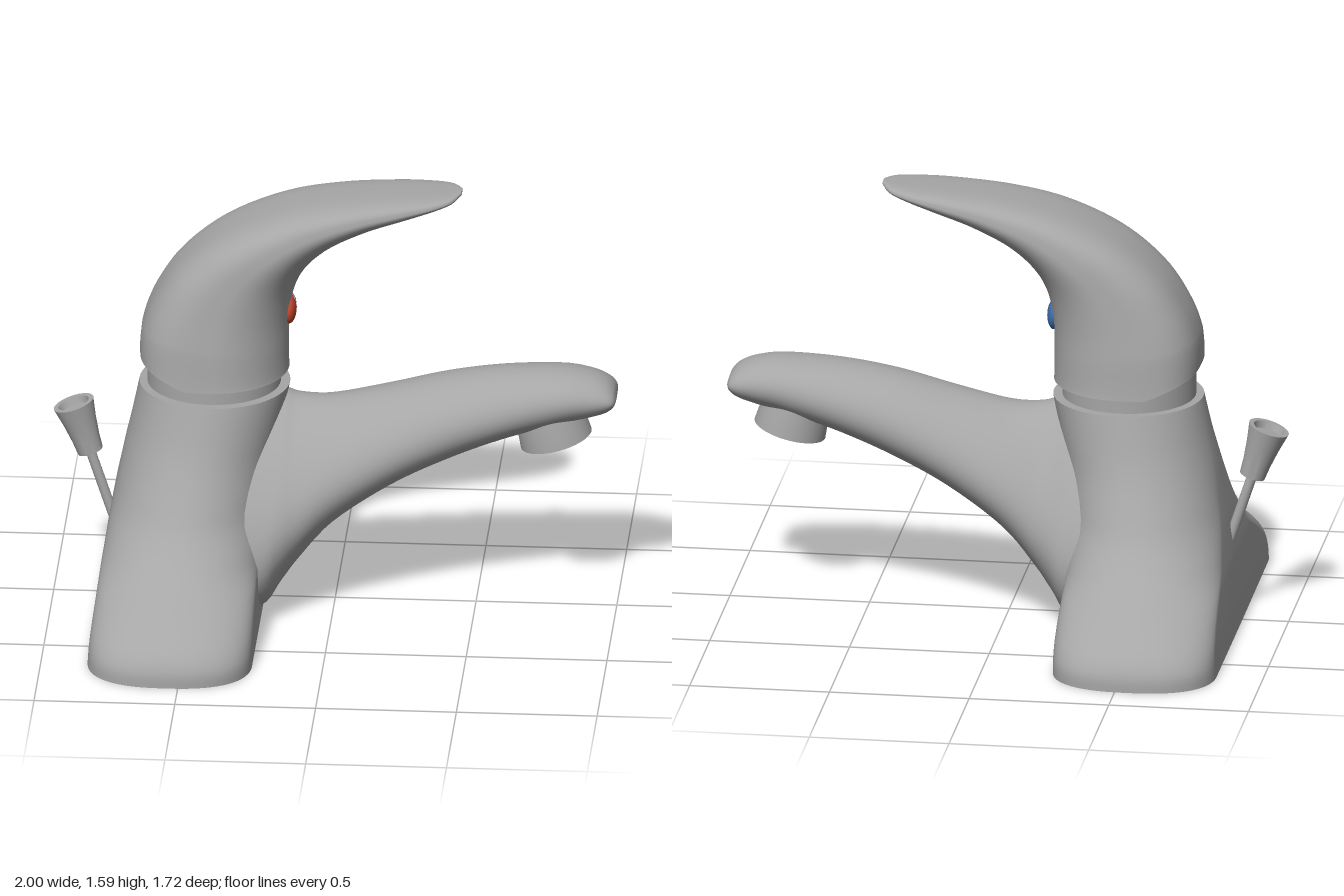
import * as THREE from 'three';
import { toCreasedNormals } from 'three/addons/utils/BufferGeometryUtils.js';

const material = (name, color) => {
  const m = new THREE.MeshStandardMaterial({ color });
  m.name = name;
  return m;
};

// Catmull-Rom interpolation through rows of numbers, u from 0 to 1
function sample(rows, u) {
  const last = rows.length - 1;
  const i = Math.min(Math.floor(u * last), last - 1);
  const t = u * last - i;
  const row = (k) => rows[Math.max(0, Math.min(last, k))];
  return row(i).map((b, c) => {
    const a = row(i - 1)[c], d = row(i + 1)[c], e = row(i + 2)[c];
    return b + 0.5 * t * (d - a + t * (2 * a - 5 * b + 4 * d - e + t * (3 * (b - d) + e - a)));
  });
}

// Signed power for superelliptic sections
const power = (v, n) => (Math.abs(v) < 1e-6 ? 0 : Math.sign(v) * Math.abs(v) ** (2 / n));

// Closed solid from cross-sections: smooth sides with flat, sharp-edged end caps
function loft(section, steps, sides) {
  const pos = [], index = [];
  const ring = (u) => {
    for (let j = 0; j < sides; j++) {
      const a = (j / sides) * Math.PI * 2;
      pos.push(...section(u, Math.cos(a), Math.sin(a)));
    }
  };
  for (let i = 0; i <= steps; i++) ring(i / steps);
  for (let i = 0; i < steps; i++) {
    for (let j = 0; j < sides; j++) {
      const k = (j + 1) % sides;
      const a = i * sides + j, b = i * sides + k;
      index.push(a, b, a + sides, b, b + sides, a + sides);
    }
  }
  for (const u of [0, 1]) {
    const start = pos.length / 3;
    ring(u);
    const centre = [0, 0, 0];
    for (let j = 0; j < sides; j++) {
      for (let c = 0; c < 3; c++) centre[c] += pos[(start + j) * 3 + c] / sides;
    }
    pos.push(...centre);
    for (let j = 0; j < sides; j++) {
      const a = start + j, b = start + ((j + 1) % sides);
      index.push(start + sides, ...(u ? [a, b] : [b, a]));
    }
  }
  // Turn the faces outward when the enclosed volume is negative
  const point = (i) => new THREE.Vector3().fromArray(pos, i * 3);
  let volume = 0;
  for (let i = 0; i < index.length; i += 3) {
    volume += point(index[i]).dot(point(index[i + 1]).cross(point(index[i + 2])));
  }
  if (volume < 0) index.reverse();
  const g = new THREE.BufferGeometry();
  g.setAttribute('position', new THREE.Float32BufferAttribute(pos, 3));
  g.setIndex(index);
  g.computeVertexNormals();
  return g;
}

const lathe = (points, sides = 40) => toCreasedNormals(
  new THREE.LatheGeometry(points.map(([r, y]) => new THREE.Vector2(r, y)), sides), 0.6);

// Body: height, back x, front x, half length, end rounding depth, squareness
const BODY = [
  [0, -0.835, -0.25, 0.86, 0.24, 2.5],
  [0.05, -0.832, -0.25, 0.857, 0.24, 2.5],
  [0.1, -0.828, -0.25, 0.832, 0.25, 2.4],
  [0.15, -0.822, -0.25, 0.78, 0.27, 2.3],
  [0.2, -0.816, -0.25, 0.705, 0.29, 2.2],
  [0.25, -0.81, -0.25, 0.62, 0.31, 2.1],
  [0.3, -0.802, -0.248, 0.55, 0.32, 2.1],
  [0.4, -0.785, -0.24, 0.455, 0.33, 2],
  [0.5, -0.765, -0.227, 0.395, 0.33, 2],
  [0.6, -0.745, -0.21, 0.345, 0.32, 2],
  [0.7, -0.722, -0.187, 0.308, 0.3, 2],
  [0.83, -0.695, -0.16, 0.272, 0.272, 2],
];

// Spout: x, top y, bottom y, half width, downward bulge
const SPOUT = [
  [-0.4, 0.8, 0.01, 0.34, 0.5],
  [-0.25, 0.81, 0.01, 0.32, 0.5],
  [-0.18, 0.802, 0.105, 0.3, 0.45],
  [-0.12, 0.783, 0.19, 0.28, 0.4],
  [0, 0.78, 0.33, 0.257, 0.3],
  [0.2, 0.822, 0.47, 0.222, 0.2],
  [0.4, 0.872, 0.57, 0.195, 0.12],
  [0.6, 0.903, 0.65, 0.172, 0.08],
  [0.8, 0.912, 0.71, 0.148, 0],
  [0.9, 0.9, 0.735, 0.13, 0],
  [0.96, 0.877, 0.755, 0.115, 0],
  [0.99, 0.85, 0.778, 0.098, 0],
  [1, 0.825, 0.803, 0.07, 0],
];

// Lever: outer x, outer y, inner x, inner y, half width
const LEVER = [
  [-0.69, 0.955, -0.163, 0.885, 0.272],
  [-0.685, 1.05, -0.165, 0.98, 0.262],
  [-0.64, 1.17, -0.162, 1.1, 0.247],
  [-0.55, 1.3, -0.14, 1.21, 0.235],
  [-0.4, 1.42, -0.09, 1.3, 0.225],
  [-0.2, 1.51, 0, 1.38, 0.205],
  [0, 1.555, 0.13, 1.445, 0.178],
  [0.2, 1.575, 0.27, 1.495, 0.15],
  [0.33, 1.581, 0.36, 1.527, 0.122],
  [0.41, 1.584, 0.42, 1.55, 0.085],
  [0.45, 1.585, 0.45, 1.57, 0.025],
];

export function createModel() {
  const model = new THREE.Group();
  model.name = 'basinTap';
  const metal = material('satin metal', 0xa6a6a6);
  const red = material('hot red', 0xc4472e);
  const blue = material('cold blue', 0x3c6ca8);
  const dark = material('dark outlet', 0x1c1c1c);
  const add = (name, geometry, mat, parent = model) => {
    const mesh = new THREE.Mesh(geometry, mat);
    mesh.name = name;
    parent.add(mesh);
    return mesh;
  };

  // Flared body standing on a long rounded base
  add('body', loft((u, c, s) => {
    const [y, back, front, half, cap, n] = sample(BODY, u);
    const z = power(s, n);
    return [
      (back + front) / 2 + ((front - back) / 2) * power(c, n),
      y,
      z * cap + Math.sign(z) * (half - cap),
    ];
  }, 44, 64), metal);

  // Spout growing out of the body
  add('spout', loft((u, c, s) => {
    const [x, top, bottom, half, bulge] = sample(SPOUT, u);
    return [x, (top + bottom) / 2 + ((top - bottom) / 2) * s, half * c * (1 - bulge * s)];
  }, 60, 48), metal);

  // Hollow outlet below the spout tip
  const outlet = new THREE.Group();
  outlet.name = 'outlet';
  outlet.position.set(0.785, 0.638, 0);
  outlet.rotation.z = 0.255;
  model.add(outlet);
  add('outletRing', lathe([[0.1, 0.09], [0.105, 0], [0.13, 0], [0.125, 0.06], [0.115, 0.13]]), metal, outlet);
  const hole = add('outletHole', new THREE.CircleGeometry(0.102, 40), dark, outlet);
  hole.rotation.x = Math.PI / 2;
  hole.position.y = 0.07;

  // Collar between body and lever
  const collar = add('collar', new THREE.CylinderGeometry(0.237, 0.237, 0.15, 48), metal);
  collar.position.set(-0.43, 0.885, 0);

  // Lever: flat crowned outside, round inside, with a raised back edge
  add('lever', loft((u, c, s) => {
    const [ox, oy, ix, iy, half] = sample(LEVER, u);
    const n = c > 0 ? 2.9 : 2;
    const t = power(c, n) / 2 + 0.5;
    const x = ix + (ox - ix) * t;
    const base = 0.888 + Math.max(0, -0.52 - x) * 0.39;
    const y = iy + (oy - iy) * t;
    const settle = Math.max(0, 1 - u * 10);
    return [x, y + (base - y) * settle, half * power(s, n)];
  }, 60, 56), metal);

  // Hot and cold marker, one half each
  [['hotMarker', 0, red], ['coldMarker', Math.PI, blue]].forEach(([name, start, mat]) => {
    const half = add(name, new THREE.SphereGeometry(0.055, 20, 20, start, Math.PI), mat);
    half.scale.x = 0.45;
    half.position.set(-0.162, 1.112, start ? -0.002 : 0.002);
  });

  // Waste pull rod with a flared, hollow-topped knob
  const pull = new THREE.Group();
  pull.name = 'wastePull';
  pull.position.set(-0.785, 0.285, 0);
  pull.rotation.z = 0.32;
  model.add(pull);
  add('pullRod', new THREE.CylinderGeometry(0.018, 0.018, 0.36, 16), metal, pull).position.y = 0.12;
  add('pullKnob', lathe([
    [0, 0.27], [0.046, 0.27], [0.05, 0.32], [0.06, 0.39], [0.074, 0.46], [0.056, 0.46], [0.05, 0.435], [0, 0.435],
  ], 32), metal, pull);

  return model;
}
